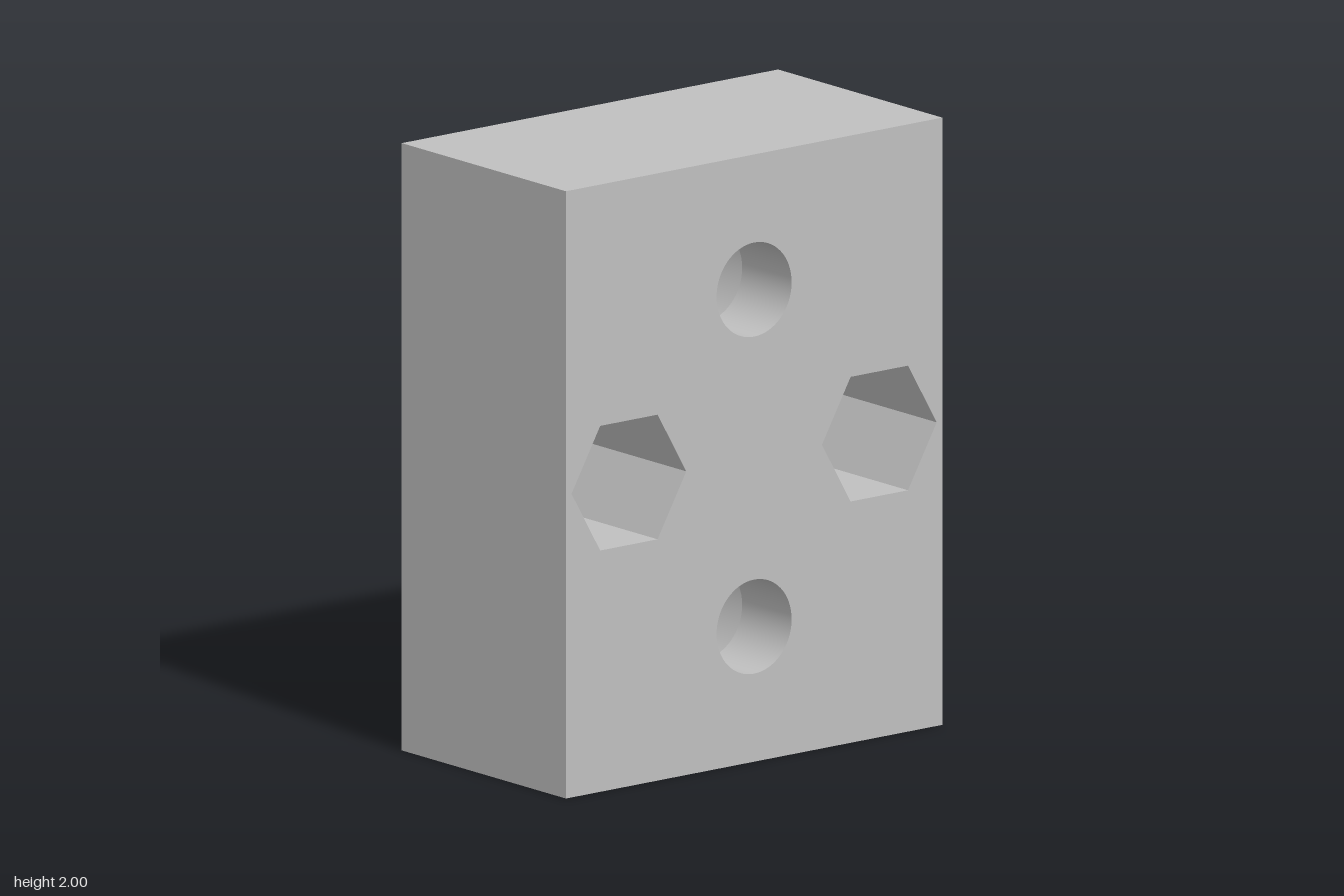
import * as THREE from 'three';
import { toCreasedNormals } from 'three/addons/utils/BufferGeometryUtils.js';

const HALF_W = 0.777, HEIGHT = 2, FRONT = 0.415, BACK = -0.415;
const SCREW_Y = [0.445, 1.555];            // stepped bores
const NUT_X = [-0.517, 0.517];             // bores with hexagonal pockets
const SCREW_R = 0.155, SEAT_R = 0.285, HEAD_R = 0.311;
const NUT_R = 0.237, BOLT_R = 0.125, NUT_FLOOR = -0.095;

// Closed outline with corners on the x axis; many sides make a circle
function ring(x, y, r, sides, Type = THREE.Path) {
  const points = [];
  for (let i = 0; i < sides; i++) {
    const a = (i / sides) * Math.PI * 2;
    points.push(new THREE.Vector2(x + r * Math.cos(a), y + r * Math.sin(a)));
  }
  return new Type(points);
}

export function createModel() {
  const group = new THREE.Group();
  group.name = 'mountingBlock';
  const grey = new THREE.MeshStandardMaterial({ color: 0xbfbfbf });
  grey.name = 'grey';

  const add = (name, geometry, x = 0, y = 0, z = 0) => {
    const mesh = new THREE.Mesh(geometry, grey);
    mesh.name = name;
    mesh.position.set(x, y, z);
    group.add(mesh);
    return mesh;
  };

  // Inward-facing wall along z; profile [radius, z] runs from front to back
  const bore = (name, profile, sides, x, y) => {
    const points = profile.map(([r, z]) => new THREE.Vector2(r, z));
    const lathe = new THREE.LatheGeometry(points, sides, Math.PI / 2);
    lathe.rotateX(Math.PI / 2);
    add(name, toCreasedNormals(lathe, 0.5), x, y);
  };

  // Block face pierced by the four openings
  const face = (screwR, nutR, nutSides) => {
    const shape = new THREE.Shape([
      new THREE.Vector2(-HALF_W, 0), new THREE.Vector2(HALF_W, 0),
      new THREE.Vector2(HALF_W, HEIGHT), new THREE.Vector2(-HALF_W, HEIGHT),
    ]);
    for (const y of SCREW_Y) shape.holes.push(ring(0, y, screwR, 64));
    for (const x of NUT_X) shape.holes.push(ring(x, HEIGHT / 2, nutR, nutSides));
    return new THREE.ShapeGeometry(shape);
  };
  add('frontFace', face(SCREW_R, NUT_R, 6), 0, 0, FRONT);
  add('backFace', face(HEAD_R, BOLT_R, 64), 0, 0, BACK).rotation.y = Math.PI;

  // Plain outer walls
  const depth = FRONT - BACK;
  for (const s of [-1, 1]) {
    add(s > 0 ? 'leftWall' : 'rightWall', new THREE.PlaneGeometry(depth, HEIGHT),
      s * HALF_W, HEIGHT / 2).rotation.y = s * Math.PI / 2;
    add(s > 0 ? 'topWall' : 'bottomWall', new THREE.PlaneGeometry(HALF_W * 2, depth),
      0, s > 0 ? HEIGHT : 0).rotation.x = -s * Math.PI / 2;
  }

  // Screw bores: narrow at the front, conical seat, wide counterbore at the back
  for (const y of SCREW_Y) {
    bore('screwBore', [[SCREW_R, FRONT], [SCREW_R, 0.165], [SEAT_R, 0.05],
      [HEAD_R, 0.05], [HEAD_R, BACK]], 64, 0, y);
  }

  // Nut pockets: hexagonal wall, flat floor and a round bore through to the back
  for (const x of NUT_X) {
    const y = HEIGHT / 2;
    bore('nutPocket', [[NUT_R, FRONT], [NUT_R, NUT_FLOOR]], 6, x, y);
    const floor = ring(0, 0, NUT_R, 6, THREE.Shape);
    floor.holes.push(ring(0, 0, BOLT_R, 64));
    add('nutPocketFloor', new THREE.ShapeGeometry(floor), x, y, NUT_FLOOR);
    bore('boltBore', [[BOLT_R, NUT_FLOOR], [BOLT_R, BACK]], 64, x, y);
  }

  return group;
}
